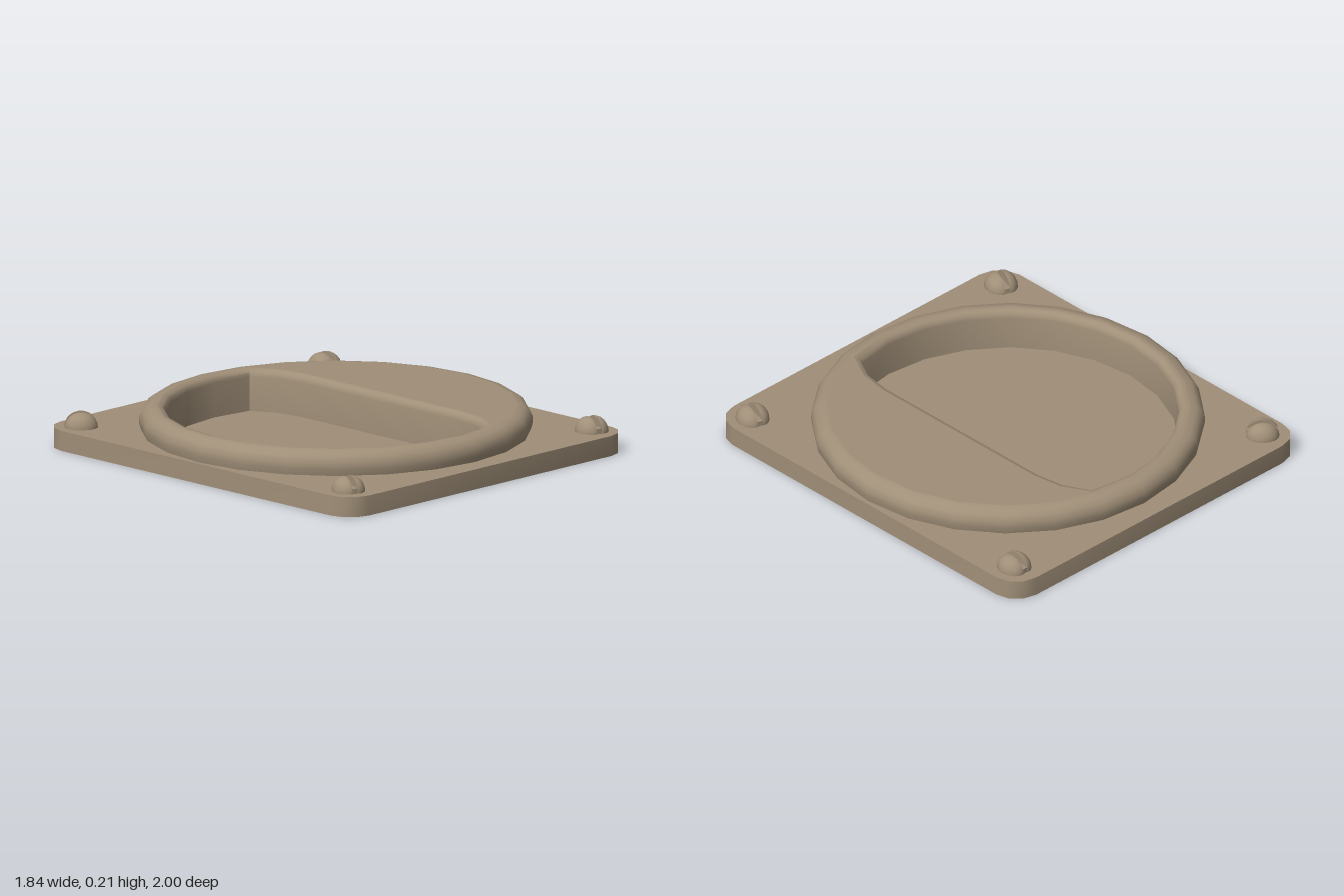
import * as THREE from 'three';
import { toCreasedNormals } from 'three/addons/utils/BufferGeometryUtils.js';

const material = new THREE.MeshStandardMaterial({ color: 0xa08f78, side: THREE.DoubleSide });
const PLATE_Y = 0.095, TOP_Y = 0.208, FLOOR_Y = 0.01;
const V = (x, z) => new THREE.Vector2(x, z);

function mesh(name, geometry) {
  const m = new THREE.Mesh(geometry, material);
  m.name = name;
  return m;
}

// Regular 24-sided outline
function circle(r) {
  return Array.from({ length: 24 }, (_, i) => {
    const a = (i * Math.PI) / 12;
    return V(r * Math.cos(a), r * Math.sin(a));
  });
}

// Rectangle with three-segment rounded corners
function roundedRect(w, d, r) {
  const pts = [];
  [[1, 1], [-1, 1], [-1, -1], [1, -1]].forEach(([sx, sz], q) => {
    for (let k = 0; k <= 3; k++) {
      const a = (q + k / 3) * Math.PI / 2;
      pts.push(V(sx * (w - r) + r * Math.cos(a), sz * (d - r) + r * Math.sin(a)));
    }
  });
  return pts;
}

// Push a closed outline outwards along its corner normals
function offset(pts, amount) {
  const n = pts.length;
  return pts.map((p, i) => {
    const t = pts[(i + 1) % n].clone().sub(p).normalize()
      .add(p.clone().sub(pts[(i + n - 1) % n]).normalize()).normalize();
    return V(p.x + t.y * amount, p.y - t.x * amount);
  });
}

// Wall through a stack of [outline, height] loops
function loft(loops) {
  const n = loops[0][0].length, pos = [], index = [];
  for (const [pts, y] of loops) for (const p of pts) pos.push(p.x, y, p.y);
  for (let j = 0; j < loops.length - 1; j++) {
    for (let i = 0; i < n; i++) {
      const a = j * n + i, b = j * n + (i + 1) % n;
      index.push(a, a + n, b, b, a + n, b + n);
    }
  }
  const g = new THREE.BufferGeometry();
  g.setAttribute('position', new THREE.Float32BufferAttribute(pos, 3));
  g.setIndex(index);
  return toCreasedNormals(g, 0.75);
}

// Flat upward-facing panel with an optional hole
function panel(pts, y, hole) {
  const shape = new THREE.Shape(pts);
  if (hole) shape.holes.push(new THREE.Path(hole));
  return new THREE.ShapeGeometry(shape).rotateX(-Math.PI / 2).translate(0, y, 0);
}

// Domed screw head: two half domes either side of a slot
function makeScrew(x, z, angle) {
  const r = 0.077, h = 0.07, w = 0.014;
  const screw = new THREE.Group();
  screw.name = 'screw';
  for (const side of [0, Math.PI]) {
    const half = new THREE.Group();
    half.name = 'screwHalf';
    const dome = new THREE.SphereGeometry(r, 10, 6, Math.PI / 2, Math.PI, 0, Math.PI / 2)
      .scale((r - w) / r, h / r, 1).translate(w, 0, 0);
    const wall = new THREE.CircleGeometry(r, 12, 0, Math.PI)
      .scale(1, h / r, 1).rotateY(-Math.PI / 2).translate(w, 0, 0);
    half.add(mesh('screwDome', dome), mesh('slotWall', wall));
    half.rotation.y = side;
    screw.add(half);
  }
  screw.add(mesh('slotFloor', new THREE.BoxGeometry(2 * w, 0.025, 1.9 * r).translate(0, 0.0125, 0)));
  screw.position.set(x, PLATE_Y, z);
  screw.rotation.y = angle;
  return screw;
}

export function createModel() {
  const group = new THREE.Group();
  group.name = 'recessedPull';

  // Hollow base plate
  const plate = roundedRect(0.92, 1, 0.13);
  group.add(
    mesh('plateRim', loft([[plate, 0], [plate, PLATE_Y]])),
    mesh('plateTop', panel(plate, PLATE_Y, circle(0.9))),
  );

  // Raised round housing with a softened outer edge
  group.add(mesh('housingRim', loft([
    [circle(0.9), PLATE_Y], [circle(0.907), 0.125], [circle(0.907), 0.155],
    [circle(0.893), 0.183], [circle(0.87), 0.201], [circle(0.838), TOP_Y],
  ])));

  // Recess outline: most of a circle, closed by a nearly straight grip edge
  const recess = [];
  for (let i = 5; i <= 19; i++) {
    const a = (i * Math.PI) / 12;
    recess.push(V(0.787 * Math.cos(a), 0.787 * Math.sin(a)));
  }
  recess.push(V(0.265, -0.64), V(0.287, -0.5), V(0.287, 0.5), V(0.265, 0.64));
  const lip = offset(recess, 0.035);
  group.add(
    mesh('housingTop', panel(circle(0.838), TOP_Y, lip)),
    mesh('recessWall', loft([
      [lip, TOP_Y], [offset(recess, 0.015), 0.202], [offset(recess, 0.004), 0.19],
      [recess, 0.172], [recess, FLOOR_Y],
    ])),
    mesh('recessFloor', panel(recess, FLOOR_Y)),
  );

  // Corner screws, each with its slot turned differently
  for (const [x, z, angle] of [
    [-0.795, -0.865, 0.85], [0.8, -0.865, 0], [-0.795, 0.865, -0.33], [0.8, 0.865, -0.27],
  ]) group.add(makeScrew(x, z, angle));

  return group;
}
